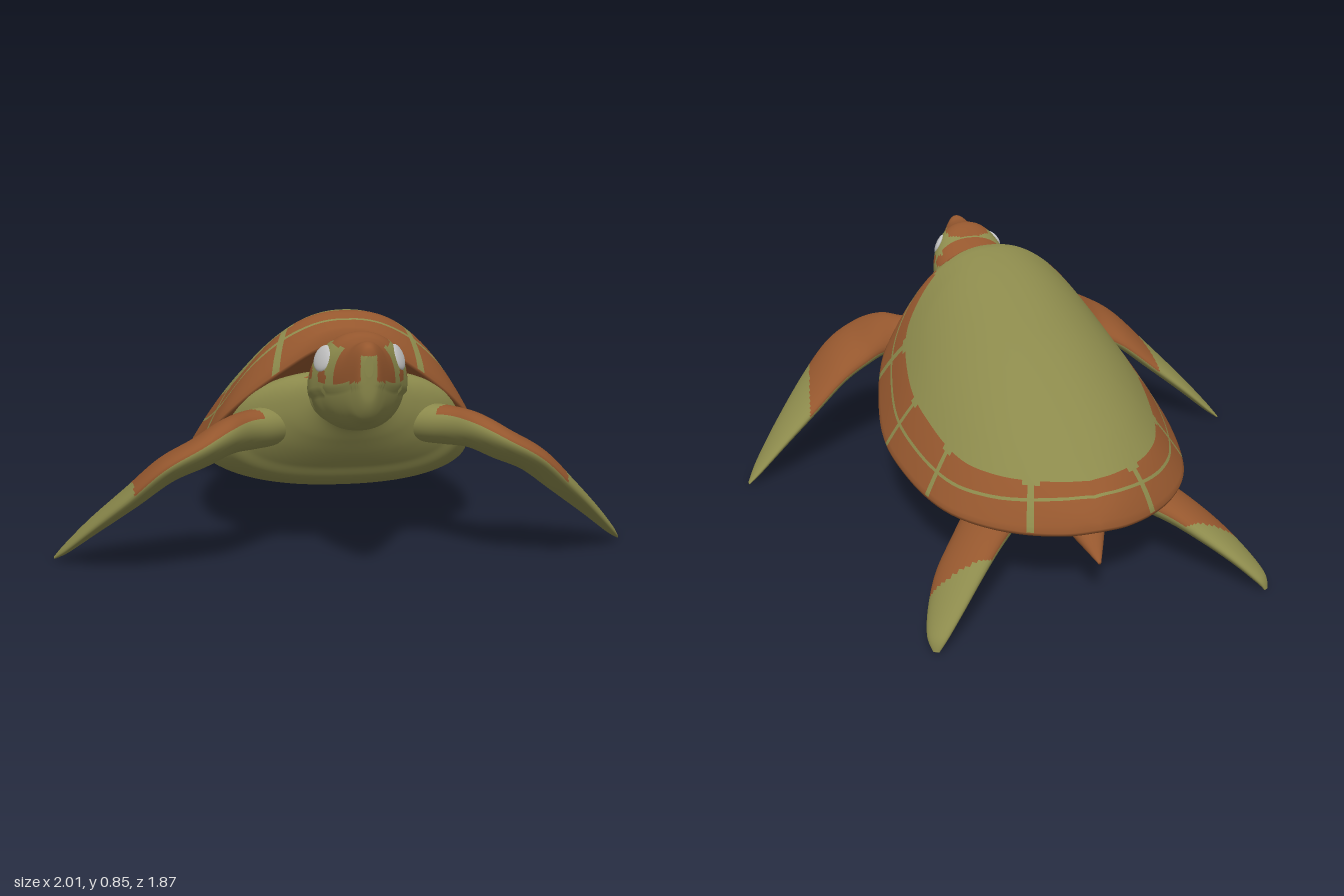
import * as THREE from 'three';

const V = (x, y, z) => new THREE.Vector3(x, y, z);
const flat = (name, color) => Object.assign(new THREE.MeshStandardMaterial({ color }), { name });

// Catmull-Rom resampling of rows of numbers
function smooth(rows, n) {
  const out = [];
  const last = rows.length - 1;
  for (let i = 0; i < last; i++) {
    const [a, b, c, d] = [i - 1, i, i + 1, i + 2].map(k => rows[Math.min(last, Math.max(0, k))]);
    for (let s = 0; s < n; s++) {
      const t = s / n;
      out.push(b.map((q, k) => q + 0.5 * t * (c[k] - a[k] + t * (2 * a[k] - 5 * q + 4 * c[k] - d[k]
        + t * (3 * (q - c[k]) + d[k] - a[k])))));
    }
  }
  out.push(rows[last]);
  return out;
}

// Linear lookup of column v at value x of ascending column k
function lookup(rows, k, v, x) {
  let i = 1;
  while (i < rows.length - 1 && rows[i][k] < x) i++;
  const a = rows[i - 1], b = rows[i];
  const t = THREE.MathUtils.clamp((x - a[k]) / (b[k] - a[k] || 1), 0, 1);
  return a[v] + (b[v] - a[v]) * t;
}

// Closed skin over a list of rings; pick(centre, ring, column) gives a material index
function loft(name, rings, materials, pick = () => 0) {
  const n = rings[0].length, m = rings.length;
  const mean = ring => ring.reduce((s, p) => s.add(p), V(0, 0, 0)).divideScalar(ring.length);
  const pts = [...rings.flat(), mean(rings[0]), mean(rings[m - 1])];
  const faces = materials.map(() => []);
  let volume = 0;
  const tri = (mat, a, b, c) => {
    faces[mat].push(a, b, c);
    volume += pts[a].dot(V(0, 0, 0).crossVectors(pts[b], pts[c]));
  };
  for (let j = 0; j < n; j++) {
    const k = (j + 1) % n;
    for (let i = 0; i < m - 1; i++) {
      const a = i * n + j, b = i * n + k, c = a + n, d = b + n;
      const mat = pick(mean([pts[a], pts[b], pts[c], pts[d]]), i, j);
      tri(mat, a, b, c);
      tri(mat, b, d, c);
    }
    const e = (m - 1) * n;
    tri(pick(pts[n * m], 0, j), n * m, k, j);
    tri(pick(pts[n * m + 1], m - 1, j), n * m + 1, e + j, e + k);
  }
  if (volume < 0) faces.forEach(f => f.reverse());
  const g = new THREE.BufferGeometry().setFromPoints(pts);
  g.setIndex(faces.flat());
  let start = 0;
  faces.forEach((f, i) => { g.addGroup(start, f.length, i); start += f.length; });
  g.computeVertexNormals();
  const mesh = new THREE.Mesh(g, materials);
  mesh.name = name;
  return mesh;
}

// Rounded upright cross-section; a higher power is squarer
function section([z, w, top, bottom, power = 2.2], n = 80) {
  const bend = q => Math.sign(q) * Math.abs(q) ** (2 / power);
  return Array.from({ length: n }, (_, i) => {
    const a = (i / n) * Math.PI * 2;
    return V(w * bend(Math.cos(a)), (top + bottom) / 2 + (top - bottom) / 2 * bend(Math.sin(a)), z);
  });
}

// Flipper from [leading xyz, trailing xyz, half thickness]; first half of each ring is the upper side
function flipper(name, side, rows, materials, pick) {
  const n = 32;
  const st = smooth(rows, 20).map(r => ({
    lead: V(r[0] * side, r[1], r[2]), trail: V(r[3] * side, r[4], r[5]), th: Math.max(r[6], 0.003) }));
  st.forEach(s => { s.mid = s.lead.clone().add(s.trail).multiplyScalar(0.5); });
  const rings = st.map((s, i) => {
    const span = st[Math.min(i + 1, st.length - 1)].mid.clone().sub(st[Math.max(i - 1, 0)].mid);
    const chord = s.lead.clone().sub(s.trail).multiplyScalar(0.5);
    const up = chord.clone().cross(span).normalize();
    if (up.y < 0) up.negate();
    return Array.from({ length: n }, (_, j) => {
      const a = (j / n) * Math.PI * 2;
      return s.mid.clone().addScaledVector(chord, Math.cos(a)).addScaledVector(up, s.th * Math.sin(a));
    });
  });
  return loft(name, rings, materials, (c, i, j) => pick(c, j < n / 2));
}

// Domed shell with a border of plates
function buildShell(materials) {
  const cz = -0.17, deg = 180 / Math.PI, gap = 1.1, notch = 3, seams = [-71, -31, 7.5, 42, 69];
  // Rim from tail to neck: angle, x, y, z
  const rim = smooth([[0, .288, -.85], [.1, .28, -.83], [.22, .272, -.77], [.33, .268, -.68], [.42, .268, -.56],
    [.48, .275, -.4], [.52, .292, -.2], [.53, .31, -.05], [.515, .343, .1], [.48, .405, .26], [.43, .485, .36],
    [.33, .59, .428], [.2, .69, .468], [.1, .75, .482], [0, .77, .488]], 12)
    .map(([x, y, z]) => [Math.atan2(z - cz, x) * deg, x, y, z]);
  // Height along the middle: z, y
  const ridge = smooth([[-.85, .29], [-.78, .375], [-.6, .475], [-.4, .58], [-.2, .67], [0, .745], [.2, .815],
    [.32, .848], [.37, .858], [.42, .836], [.488, .8]], 6);
  const edges = [-90, ...seams.flatMap(s => [s - notch, s - gap, s + gap, s + notch]), 90];
  const half = [];
  for (let i = 0; i < edges.length - 1; i++) {
    const steps = i % 4 ? 1 : 10;
    for (let k = 0; k < steps; k++) half.push(edges[i] + (edges[i + 1] - edges[i]) * k / steps);
  }
  half.push(90);
  const around = [...half.map(a => [a, 1]), ...half.slice(1, -1).reverse().map(a => [a, -1])];
  const ringAt = (q, drop = null) => around.map(([a, side]) => {
    // The border is narrower at the two ends
    const s = q + .05 * Math.sin(a / deg) ** 2 * Math.max(0, 1 - Math.abs(q - .8) / .1);
    const x = lookup(rim, 0, 1, a) * s, ry = lookup(rim, 0, 2, a);
    const z = cz + (lookup(rim, 0, 3, a) - cz) * s;
    if (drop !== null) return V(x * side, ry - drop, z);
    const low = lookup(rim, 3, 2, z), high = lookup(ridge, 0, 1, z);
    const u = Math.min(1, x / Math.max(lookup(rim, 3, 1, z), 1e-4));
    return V(x * side, low + (high - low) * (1 - u ** 2.25), z);
  });
  const scale = [.02, .1, .2, .3, .4, .5, .58, .65, .7, .75, .79, .81, .84, .87, .9, .912, .94, .965, .985];
  const rings = [...scale.map(s => ringAt(s)), ringAt(1, 0), ringAt(.995, .012), ringAt(.965, .018), ringAt(.8, .005)];
  return loft('shell', rings, materials, (c, i) => {
    if (i >= scale.length) return 1;
    const a = Math.atan2(c.z - cz, Math.abs(c.x)) * deg;
    const seam = seams.some(s => Math.abs(a - s) < (scale[i] === .79 ? notch : gap));
    return scale[i] >= .79 && scale[i] !== .9 && !seam ? 1 : 0;
  });
}

export function createModel() {
  const olive = flat('olive', 0x8c8a4c), brown = flat('brown', 0x95572e), white = flat('eyeWhite', 0xc4c4c4);
  const skin = [olive, brown];
  const turtle = new THREE.Group();
  turtle.name = 'turtle';
  turtle.add(buildShell(skin));
  const neckLine = z => .655 + (z - .5) * .3;

  // Belly, chest and shoulders
  const body = smooth([[.6, .08, .68, .55, 2.1], [.545, .125, .685, .495, 2.1], [.505, .215, .68, .44, 2.3],
    [.465, .3, .675, .385, 2.5], [.42, .36, .655, .33, 2.6], [.36, .405, .6, .262, 2.5], [.2, .46, .5, .203, 2.2],
    [0, .495, .43, .173, 2.1], [-.2, .49, .39, .157, 2.05], [-.4, .445, .36, .158, 2.05], [-.55, .36, .34, .185, 2.1],
    [-.68, .24, .32, .22, 2.1], [-.78, .1, .29, .245, 2.1]], 10);
  turtle.add(loft('body', body.map(r => section(r)), skin, c =>
    (c.z < -.62 || (c.z < -.52 && c.y > .19) || (c.z > .5 && c.y > neckLine(c.z)) ? 1 : 0)));

  // Tail
  const tail = smooth([[-.58, .1, .29, .19], [-.72, .065, .27, .19], [-.78, .04, .235, .178], [-.85, .005, .17, .16]], 5);
  turtle.add(loft('tail', tail.map(r => section(r, 20)), [brown]));

  // Head, with the lower jaw set in under the beak
  const head = smooth([[.42, .10, .70, .50], [.52, .108, .71, .515], [.58, .133, .735, .515], [.64, .153, .775, .52],
    [.70, .152, .825, .525], [.75, .132, .843, .54], [.80, .107, .832, .555], [.85, .08, .828, .58],
    [.89, .055, .835, .605], [.92, .032, .825, .66], [.93, .012, .80, .74]], 12).map(r => section(r));
  head.flat().forEach(p => { if (p.z > .62 && p.y < .62 + (p.z - .62) * .3) p.x *= .94; });
  const headColour = c => {
    const x = Math.abs(c.x), spot = z => Math.hypot(c.z - z, c.y - .712) < .02;
    if (c.z > .825) return c.y > .7 + (c.z - .83) * .25 && !(x < .024 && c.z > .87 && c.y < .8) ? 1 : 0;
    if (c.z > .67) return (x < .085 && c.y > .805) || spot(.77) || spot(.7) ? 1 : 0;
    return c.y > neckLine(c.z) && (x < .12 || c.y < .74) ? 1 : 0;
  };
  turtle.add(loft('head', head, skin, headColour));

  for (const side of [1, -1]) {
    const label = side > 0 ? 'left' : 'right';

    // Eye
    const eye = new THREE.Mesh(new THREE.SphereGeometry(1, 24, 16), white);
    eye.name = label + 'Eye';
    eye.scale.set(.014, .042, .05);
    eye.position.set(side * .113, .762, .745);
    eye.rotation.set(0, -side * .4, side * .4);
    turtle.add(eye);

    // Front flipper
    turtle.add(flipper(label + 'FrontFlipper', side, [
      [.12, .51, .43, .15, .45, .32, .05], [.24, .525, .505, .27, .44, .37, .064],
      [.32, .53, .555, .35, .43, .41, .062], [.39, .52, .64, .42, .43, .45, .056],
      [.48, .48, .70, .5, .39, .448, .05], [.6, .41, .695, .6, .34, .41, .044],
      [.72, .295, .635, .72, .245, .368, .036], [.85, .165, .515, .85, .14, .328, .026],
      [.95, .06, .405, .95, .05, .308, .015], [1, .006, .325, 1, .006, .303, .004]], skin, (c, top) => {
      const x = Math.abs(c.x);
      return top && x > .28 + Math.max(0, .52 - c.z) * 1.2 && x < .74 - (c.z - .36) * .15 ? 1 : 0;
    }));

    // Rear flipper
    turtle.add(flipper(label + 'RearFlipper', side, [
      [.34, .23, -.50, .18, .25, -.62, .055], [.42, .18, -.60, .29, .215, -.73, .045],
      [.495, .125, -.69, .375, .165, -.812, .035], [.545, .075, -.79, .455, .11, -.888, .026],
      [.572, .035, -.88, .52, .05, -.935, .017], [.566, .008, -.93, .55, .01, -.942, .004]], skin, (c, top) =>
      (c.z > (top ? -.775 : -.66) ? 1 : 0)));
  }
  return turtle;
}
